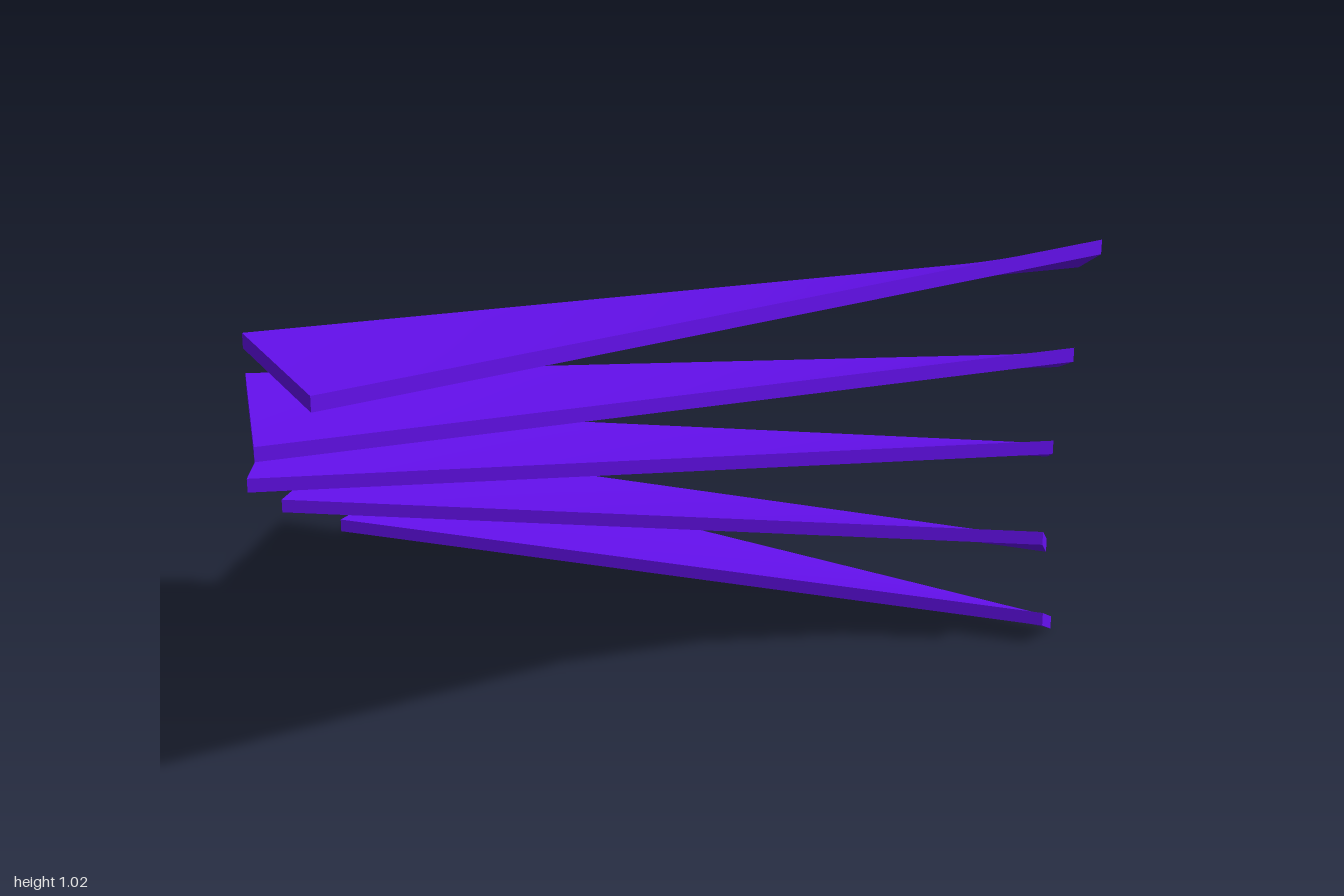
import * as THREE from 'three';

const THICKNESS = 0.03;

// Each tread: underside height, top height, and the [x, z] ends of its raised front and lowered back edge
const TREADS = [
  { low: 0.0, high: 0.078, front: [[0.81, -0.1], [-0.77, -0.57]], back: [[0.84, -0.18], [-0.585, -1]] },
  { low: 0.22, high: 0.304, front: [[0.79, -0.03], [-0.84, -0.18]], back: [[0.81, -0.11], [-0.75, -0.63]] },
  { low: 0.473, high: 0.543, front: [[0.79, 0.04], [-0.835, 0.25]], back: [[0.79, -0.04], [-0.835, -0.22]] },
  { low: 0.703, high: 0.774, front: [[0.81, 0.11], [-0.75, 0.63]], back: [[0.79, 0.035], [-0.84, 0.16]] },
  { low: 0.94, high: 1.025, front: [[0.84, 0.18], [-0.585, 1]], back: [[0.81, 0.1], [-0.77, 0.56]] },
];

// Wedge slab: a box bent so that its cross-section widens and flattens towards the outer end
function treadGeometry({ low, high, front, back }) {
  const geo = new THREE.BoxGeometry(1, 1, 1, 10, 1, 4);
  const pos = geo.attributes.position;
  const mix = THREE.MathUtils.lerp;
  for (let i = 0; i < pos.count; i++) {
    const u = 0.5 - pos.getX(i); // inner to outer end
    const v = pos.getZ(i) + 0.5; // back to front edge
    const [fx, fz] = [0, 1].map((k) => mix(front[0][k], front[1][k], u));
    const [bx, bz] = [0, 1].map((k) => mix(back[0][k], back[1][k], u));
    const bottom = mix(low, high - THICKNESS, v);
    pos.setXYZ(i, mix(bx, fx, v), bottom + (pos.getY(i) + 0.5) * THICKNESS, mix(bz, fz, v));
  }
  geo.computeVertexNormals();
  return geo;
}

export function createModel() {
  const group = new THREE.Group();
  group.name = 'fanOfTreads';
  const material = new THREE.MeshStandardMaterial({ color: 0x6610f2 });
  TREADS.forEach((tread, i) => {
    const mesh = new THREE.Mesh(treadGeometry(tread), material);
    mesh.name = `tread${i + 1}`;
    group.add(mesh);
  });
  return group;
}
